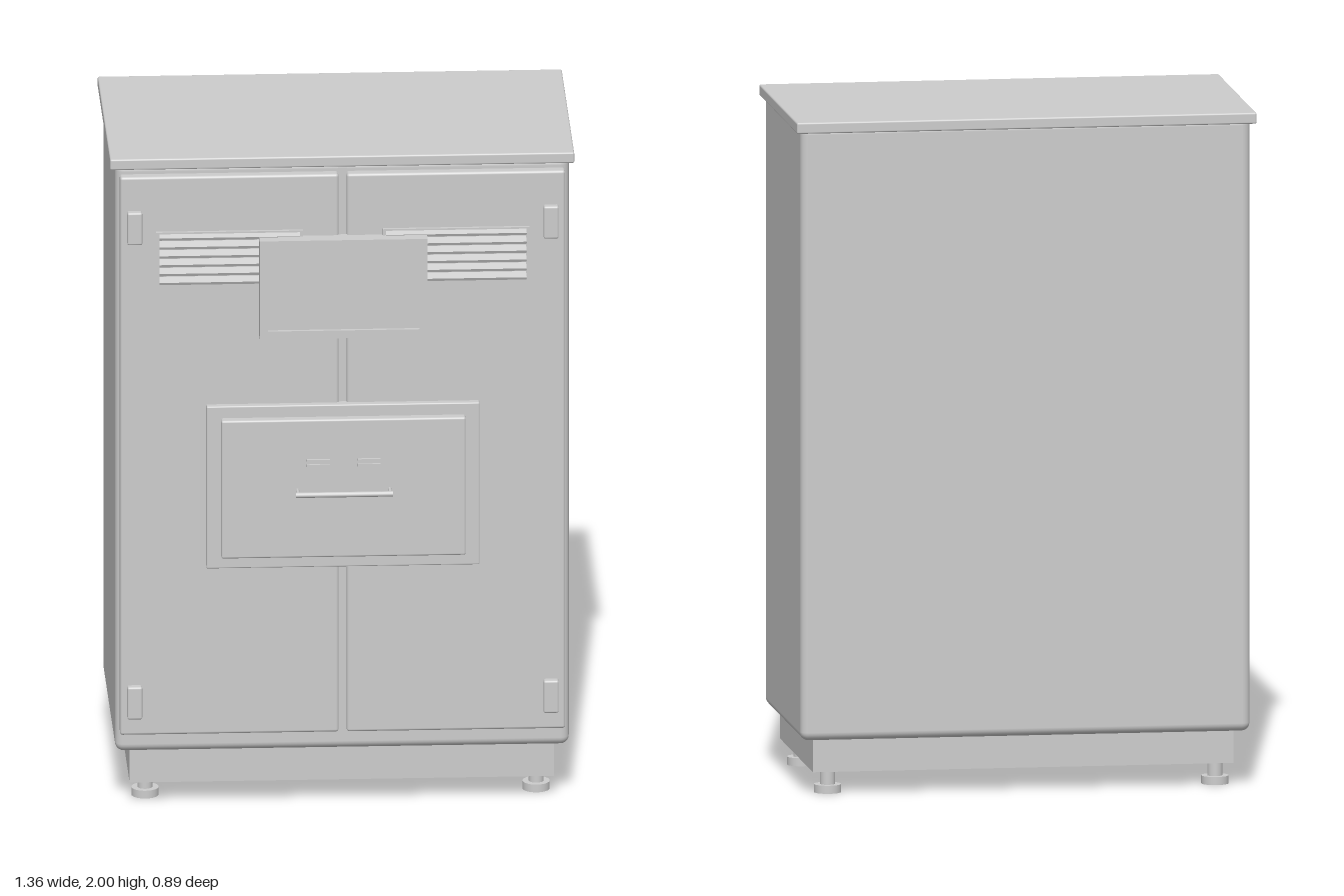
import * as THREE from 'three';
import { RoundedBoxGeometry } from 'three/addons/geometries/RoundedBoxGeometry.js';

export function createModel() {
  const model = new THREE.Group();
  model.name = 'cabinet';
  const grey = new THREE.MeshStandardMaterial({ color: 0xcccccc });
  grey.name = 'light grey';

  const add = (name, geometry, x = 0, y = 0, z = 0) => {
    const mesh = new THREE.Mesh(geometry, grey);
    mesh.name = name;
    mesh.position.set(x, y, z);
    model.add(mesh);
    return mesh;
  };

  // Box given by its limits on each axis, with optional rounded edges
  const box = (name, [x0, x1], [y0, y1], [z0, z1], radius = 0) => {
    const size = [x1 - x0, y1 - y0, z1 - z0];
    const geometry = radius
      ? new RoundedBoxGeometry(...size, 3, radius)
      : new THREE.BoxGeometry(...size);
    return add(name, geometry, (x0 + x1) / 2, (y0 + y1) / 2, (z0 + z1) / 2);
  };

  // Rectangular frame with an open middle
  const frame = (name, w, h, border, depth, x, y, z) => {
    const shape = new THREE.Shape();
    shape.moveTo(-w / 2, -h / 2).lineTo(w / 2, -h / 2).lineTo(w / 2, h / 2).lineTo(-w / 2, h / 2).closePath();
    const a = w / 2 - border, b = h / 2 - border;
    const hole = new THREE.Path();
    hole.moveTo(-a, -b).lineTo(-a, b).lineTo(a, b).lineTo(a, -b).closePath();
    shape.holes.push(hole);
    add(name, new THREE.ExtrudeGeometry(shape, { depth, bevelEnabled: false }), x, y, z);
  };

  // Carcass
  box('body', [-0.665, 0.665], [0.165, 1.985], [-0.425, 0.307], 0.025);
  box('topSlab', [-0.68, 0.68], [1.967, 2], [-0.445, 0.312], 0.005);
  box('plinth', [-0.622, 0.622], [0.065, 0.19], [-0.37, 0.288]);
  box('centreStrip', [-0.014, 0.014], [0.195, 1.966], [0.29, 0.316]);

  for (const s of [-1, 1]) {
    const span = (a, b) => (s > 0 ? [a, b] : [-b, -a]);

    // Doors and hinges
    box('door', span(0.012, 0.652), [0.228, 1.953], [0.3, 0.338], 0.008);
    for (const y of [0.333, 1.8]) {
      box('hinge', span(0.588, 0.632), [y - 0.05, y + 0.05], [0.33, 0.36], 0.006);
    }

    // Vent grille with slanted slats
    frame('ventFrame', 0.43, 0.165, 0.01, 0.012, s * 0.332, 1.702, 0.336);
    for (let i = 0; i < 6; i++) {
      const slat = add('ventSlat', new THREE.BoxGeometry(0.412, 0.009, 0.026),
        s * 0.332, 1.636 + i * 0.0275, 0.35);
      slat.rotation.x = 0.45;
    }

    // Feet
    for (const z of [0.205, -0.33]) {
      add('footStem', new THREE.CylinderGeometry(0.022, 0.022, 0.05, 24), s * 0.573, 0.045, z);
      add('footPad', new THREE.CylinderGeometry(0.04, 0.04, 0.024, 32), s * 0.573, 0.012, z);
    }

    // Small slot lips on the drawer
    box('slotLip', span(0.04, 0.108), [1.085, 1.091], [0.38, 0.397]);
    box('slotLip', span(0.04, 0.108), [1.067, 1.075], [0.38, 0.394]);
  }

  // Display on its mount
  box('displayMount', [-0.13, 0.13], [1.475, 1.765], [0.33, 0.362]);
  box('displayBack', [-0.246, 0.246], [1.467, 1.77], [0.36, 0.388]);
  frame('displayBezel', 0.492, 0.303, 0.024, 0.012, 0, 1.6185, 0.387);

  // Drawer
  box('drawerSurround', [-0.4, 0.4], [0.747, 1.248], [0.325, 0.36], 0.004);
  box('drawerFront', [-0.358, 0.358], [0.786, 1.212], [0.34, 0.388], 0.006);

  // Handle bar on two posts
  const bar = add('handleBar', new THREE.CylinderGeometry(0.008, 0.008, 0.284, 16), 0, 0.996, 0.436);
  bar.rotation.z = Math.PI / 2;
  for (const x of [-0.135, 0.135]) {
    const post = add('handlePost', new THREE.CylinderGeometry(0.005, 0.005, 0.054, 12), x, 0.996, 0.411);
    post.rotation.x = Math.PI / 2;
  }

  return model;
}
